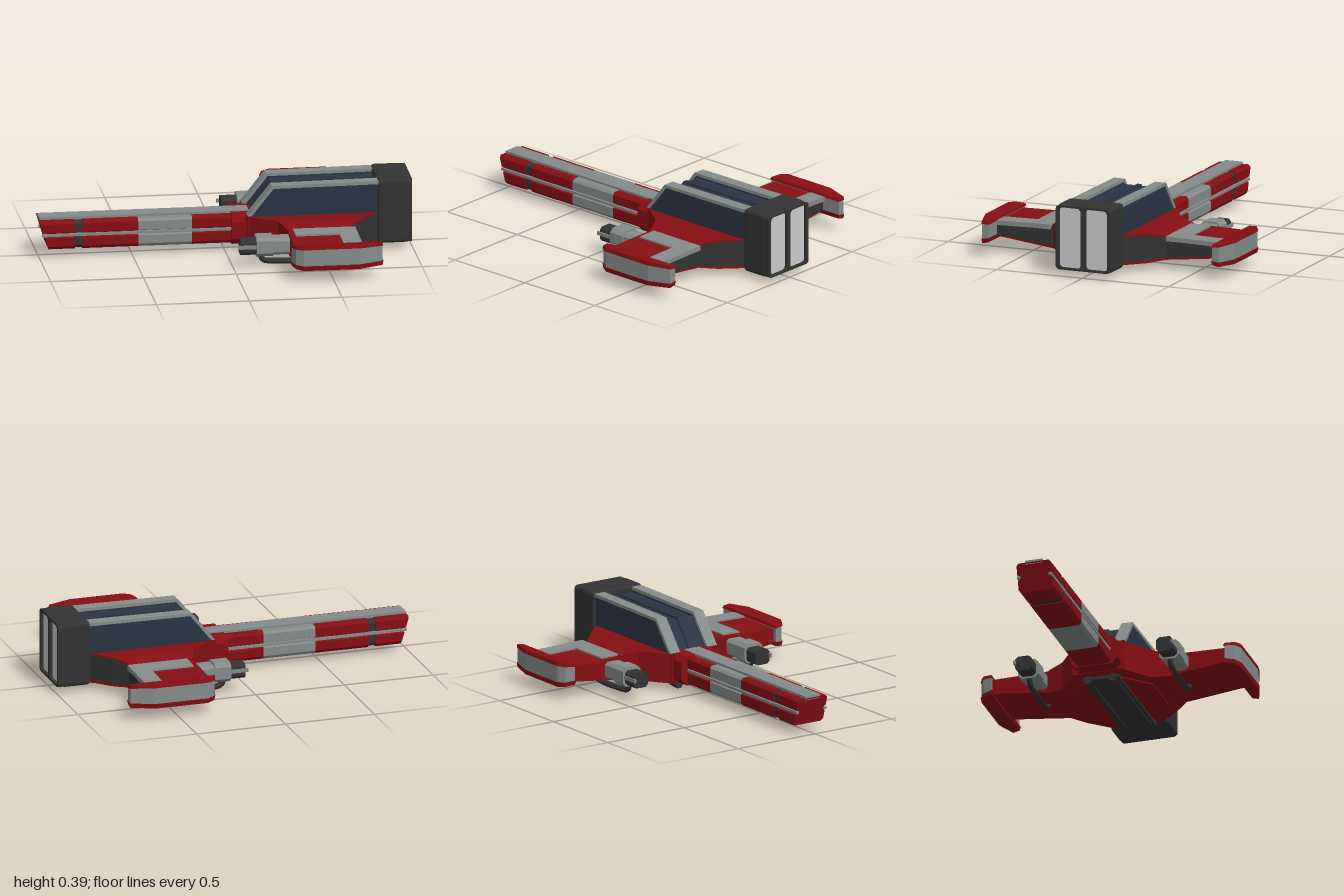
import * as THREE from 'three';
import { RoundedBoxGeometry } from 'three/addons/geometries/RoundedBoxGeometry.js';

const paint = (color) => new THREE.MeshStandardMaterial({ color, flatShading: true });
const RED = paint(0x860f13), GREY = paint(0x858c8a), DARK = paint(0x333333);
const BLUE = paint(0x2c3444), LIGHT = paint(0xcccccc);

// Skin a row of equal-length rings of [x, y, z] points and cap both ends.
function loft(rings) {
  const tris = [];
  const n = rings[0].length;
  for (let r = 0; r < rings.length - 1; r++) {
    for (let i = 0; i < n; i++) {
      const j = (i + 1) % n;
      const [a, b, c, d] = [rings[r][i], rings[r][j], rings[r + 1][j], rings[r + 1][i]];
      tris.push([a, b, c], [a, c, d]);
    }
  }
  const cap = (ring, flip) => {
    const mid = [0, 1, 2].map((k) => ring.reduce((s, p) => s + p[k], 0) / n);
    for (let i = 0; i < n; i++) {
      const a = ring[i], b = ring[(i + 1) % n];
      tris.push(flip ? [mid, b, a] : [mid, a, b]);
    }
  };
  cap(rings[0], true);
  cap(rings[rings.length - 1], false);
  // Turn the faces outward whatever the ring direction was.
  const v = (p) => new THREE.Vector3(...p);
  const volume = tris.reduce((s, [a, b, c]) => s + v(a).dot(v(b).cross(v(c))), 0);
  if (volume < 0) tris.forEach((t) => t.reverse());
  const geo = new THREE.BufferGeometry();
  geo.setAttribute('position', new THREE.Float32BufferAttribute(tris.flat(2), 3));
  geo.computeVertexNormals();
  return geo;
}

function add(parent, name, geo, mat) {
  const mesh = new THREE.Mesh(geo, mat);
  mesh.name = name;
  parent.add(mesh);
  return mesh;
}

// Box given by its limits.
function box(parent, name, mat, [x0, x1], [y0, y1], [z0, z1]) {
  const mesh = add(parent, name, new THREE.BoxGeometry(x1 - x0, y1 - y0, z1 - z0), mat);
  mesh.position.set((x0 + x1) / 2, (y0 + y1) / 2, (z0 + z1) / 2);
  return mesh;
}

// Side outline in x, y stretched between two z limits.
const slab = (outline, z0, z1) => loft([z0, z1].map((z) => outline.map(([x, y]) => [x, y, z])));
// Plan outline in x, z stretched between two heights.
const plate = (outline, y0, y1) => loft([y0, y1].map((y) => outline.map(([x, z]) => [x, y, z])));
// Four-cornered spanwise sections: [z, xFront, xBack, yBottom, yTop].
const span = (rows) => loft(rows.map(([z, x0, x1, y0, y1]) => [[x0, y0, z], [x1, y0, z], [x1, y1, z], [x0, y1, z]]));

// Box along x with its four long edges chamfered.
function chamferBar([x0, x1], [y0, y1], [z0, z1], c) {
  const ring = [[y0, z0 + c], [y0, z1 - c], [y0 + c, z1], [y1 - c, z1], [y1, z1 - c], [y1, z0 + c], [y1 - c, z0], [y0 + c, z0]];
  return loft([x0, x1].map((x) => ring.map(([y, z]) => [x, y, z])));
}

function buildNeck(ship) {
  const half = [[0.085, 0.052], [0.097, 0.068], [0.097, 0.115], [0.085, 0.12], [0.085, 0.14], [0.097, 0.145], [0.097, 0.192], [0.085, 0.205]];
  const section = [...half, ...half.map(([z, y]) => [-z, y]).reverse()];
  const rake = (y) => 0.3 * (0.215 - y);
  const bands = [[-1, -0.81, RED], [-0.81, -0.77, DARK], [-0.77, -0.47, RED], [-0.47, -0.18, GREY], [-0.18, 0.12, RED]];
  for (const [x0, x1, mat] of bands) {
    const k = mat === DARK ? 0.93 : 1;
    const ring = (x) => section.map(([z, y]) => [x + (x === -1 ? rake(y) : 0), 0.13 + (y - 0.13) * k, z * k]);
    add(ship, 'neckSegment', loft([ring(x0), ring(x1)]), mat);
  }
  box(ship, 'neckTopRail', GREY, [-0.995, 0.13], [0.195, 0.217], [-0.048, 0.048]);
  for (const s of [-1, 1]) box(ship, 'neckSideRail', GREY, [-0.985, 0.1], [0.123, 0.137], [s * 0.089 - 0.008, s * 0.089 + 0.008]);
  add(ship, 'neckCollar', chamferBar([0.03, 0.16], [0.048, 0.212], [-0.135, 0.135], 0.035), RED);
}

function buildHull(ship) {
  box(ship, 'lowerHull', RED, [0.11, 0.82], [0.045, 0.213], [-0.145, 0.145]);
  box(ship, 'keel', DARK, [0.16, 0.82], [0.028, 0.06], [-0.1, 0.1]);
  // Sunken canopy core between two raised shoulders
  add(ship, 'canopyCore', slab([[0.135, 0.2], [0.255, 0.35], [0.82, 0.355], [0.82, 0.2]], -0.1, 0.1), BLUE);
  add(ship, 'canopyRidge', slab([[0.127, 0.2], [0.25, 0.358], [0.82, 0.363], [0.82, 0.2]], -0.012, 0.012), BLUE);
  for (const s of [-1, 1]) {
    add(ship, 'canopyShoulder', slab([[0.12, 0.2], [0.245, 0.366], [0.82, 0.371], [0.82, 0.2]], s * 0.09, s * 0.146), BLUE);
    const trim = [[0.11, 0.212], [0.24, 0.376], [0.82, 0.382], [0.82, 0.364], [0.25, 0.36], [0.133, 0.212]];
    const strip = new THREE.ExtrudeGeometry(new THREE.Shape(trim.map((p) => new THREE.Vector2(...p))), { depth: 0.064, bevelEnabled: false });
    add(ship, 'canopyTrim', strip, GREY).position.z = s * 0.12 - 0.032;
    // Long barrel beneath the hull
    const barrel = add(ship, 'bellyBarrel', new THREE.CylinderGeometry(0.014, 0.014, 0.6, 8), DARK);
    barrel.rotation.z = Math.PI / 2;
    barrel.position.set(0.48, 0.026, s * 0.07);
    const muzzle = add(ship, 'bellyMuzzle', new THREE.CylinderGeometry(0.026, 0.02, 0.07, 6), DARK);
    muzzle.rotation.z = Math.PI / 2;
    muzzle.position.set(0.18, 0.024, s * 0.07);
  }
}

function roundedRect(path, w, h, r) {
  const corners = [[w / 2 - r, h / 2 - r], [r - w / 2, h / 2 - r], [r - w / 2, r - h / 2], [w / 2 - r, r - h / 2]];
  corners.forEach(([x, y], i) => path.absarc(x, y, r, i * Math.PI / 2, (i + 1) * Math.PI / 2, false));
  return path;
}

function buildEngine(ship) {
  const body = add(ship, 'engineBlock', new RoundedBoxGeometry(0.165, 0.355, 0.32, 2, 0.02), DARK);
  body.position.set(0.892, 0.2125, 0);
  // Rear frame with two tall openings
  const frame = roundedRect(new THREE.Shape(), 0.316, 0.352, 0.022);
  for (const s of [-1, 1]) {
    const hole = roundedRect(new THREE.Path(), 0.128, 0.33, 0.022);
    frame.holes.push(new THREE.Path(hole.getPoints(4).map((p) => new THREE.Vector2(p.x + s * 0.077, p.y))));
    box(ship, 'exhaustPanel', LIGHT, [0.96, 0.978], [0.045, 0.38], [s * 0.077 - 0.066, s * 0.077 + 0.066]);
  }
  const rim = add(ship, 'engineFrame', new THREE.ExtrudeGeometry(frame, { depth: 0.04, bevelEnabled: false, curveSegments: 4 }), DARK);
  rim.rotation.y = Math.PI / 2;
  rim.position.set(0.955, 0.2125, 0);
}

function buildWing(ship, s) {
  const wing = new THREE.Group();
  wing.name = s > 0 ? 'leftWing' : 'rightWing';
  ship.add(wing);
  const side = (rows) => span(rows.map(([z, ...rest]) => [s * z, ...rest]));
  const flat = (pts) => pts.map(([x, z]) => [x, s * z]);
  const zs = (a, b) => (s > 0 ? [a, b] : [-b, -a]);

  // Root fairing and main panel
  add(wing, 'wingRoot', side([[0.13, 0.1, 0.82, 0.045, 0.207], [0.25, 0.265, 0.71, 0.046, 0.207], [0.34, 0.3, 0.625, 0.058, 0.186]]), RED);
  add(wing, 'wingRootBack', side([[0.14, 0.75, 0.816, 0.06, 0.199], [0.25, 0.68, 0.716, 0.062, 0.199], [0.335, 0.6, 0.633, 0.072, 0.18]]), DARK);
  add(wing, 'bellyPlate', plate(flat([[0.2, 0.1], [0.34, 0.235], [0.62, 0.235], [0.74, 0.1]]), 0.039, 0.06), RED);
  add(wing, 'wingPanel', side([[0.33, 0.3, 0.64, 0.057, 0.183], [0.66, 0.3, 0.64, 0.096, 0.177]]), RED);
  add(wing, 'wingPanelBack', side([[0.335, 0.6, 0.65, 0.072, 0.178], [0.655, 0.6, 0.65, 0.108, 0.172]]), DARK);
  // Raised L-shaped armour
  add(wing, 'wingArmourInner', side([[0.338, 0.33, 0.665, 0.165, 0.192], [0.45, 0.33, 0.665, 0.165, 0.19]]), GREY);
  add(wing, 'wingArmourRear', side([[0.44, 0.565, 0.665, 0.165, 0.19], [0.655, 0.565, 0.665, 0.16, 0.186]]), GREY);

  // Winglet: grey band between two red flanges
  const tip = [[0.275, 0.648], [0.293, 0.705], [0.335, 0.732], [0.64, 0.732], [0.77, 0.69], [0.77, 0.648]];
  const inset = tip.map(([x, z]) => [0.52 + (x - 0.52) * 0.98, 0.69 + (z - 0.69) * 0.88]);
  const layer = (name, lo, hi, low, high, mat) => {
    const lift = (z) => (z - 0.648) / 0.084;
    const ring = (pts, y, slope) => pts.map(([x, z]) => [x, y + slope * lift(z), s * z]);
    add(wing, name, loft([ring(lo, low[0], low[1]), ring(hi, high[0], high[1])]), mat);
  };
  layer('wingletTop', tip, inset, [0.183, 0.004], [0.197, 0.011], RED);
  layer('wingletBand', inset, inset, [0.1, -0.01], [0.19, 0.004], GREY);
  layer('wingletBottom', inset, tip, [0.086, -0.016], [0.108, -0.012], RED);

  // Wing cannon
  add(wing, 'cannonBase', chamferBar([0.2, 0.34], [0.08, 0.17], zs(0.345, 0.445), 0.015), GREY);
  add(wing, 'cannonSleeve', chamferBar([0.12, 0.21], [0.073, 0.18], zs(0.338, 0.453), 0.02), GREY);
  add(wing, 'cannonMuzzle', chamferBar([0.035, 0.13], [0.082, 0.163], zs(0.35, 0.44), 0.015), DARK);
  box(wing, 'cannonFin', GREY, [0.02, 0.13], [0.118, 0.138], zs(0.435, 0.447));

  // Bent pipe under the wing
  const bend = new THREE.CatmullRomCurve3([[0.47, 0.08], [0.45, 0.045], [0.41, 0.036], [0.22, 0.036], [0.16, 0.045], [0.14, 0.085]]
    .map(([x, y]) => new THREE.Vector3(x, y, s * 0.395)));
  add(wing, 'underPipe', new THREE.TubeGeometry(bend, 20, 0.016, 6, false), DARK);
}

export function createModel() {
  const model = new THREE.Group();
  model.name = 'spacecraft';
  const ship = new THREE.Group();
  ship.name = 'ship';
  model.add(ship);
  buildNeck(ship);
  buildHull(ship);
  buildEngine(ship);
  for (const s of [-1, 1]) buildWing(ship, s);
  // Slight yaw of the whole craft
  ship.rotation.y = -0.006;
  ship.position.z = -0.006;
  return model;
}
